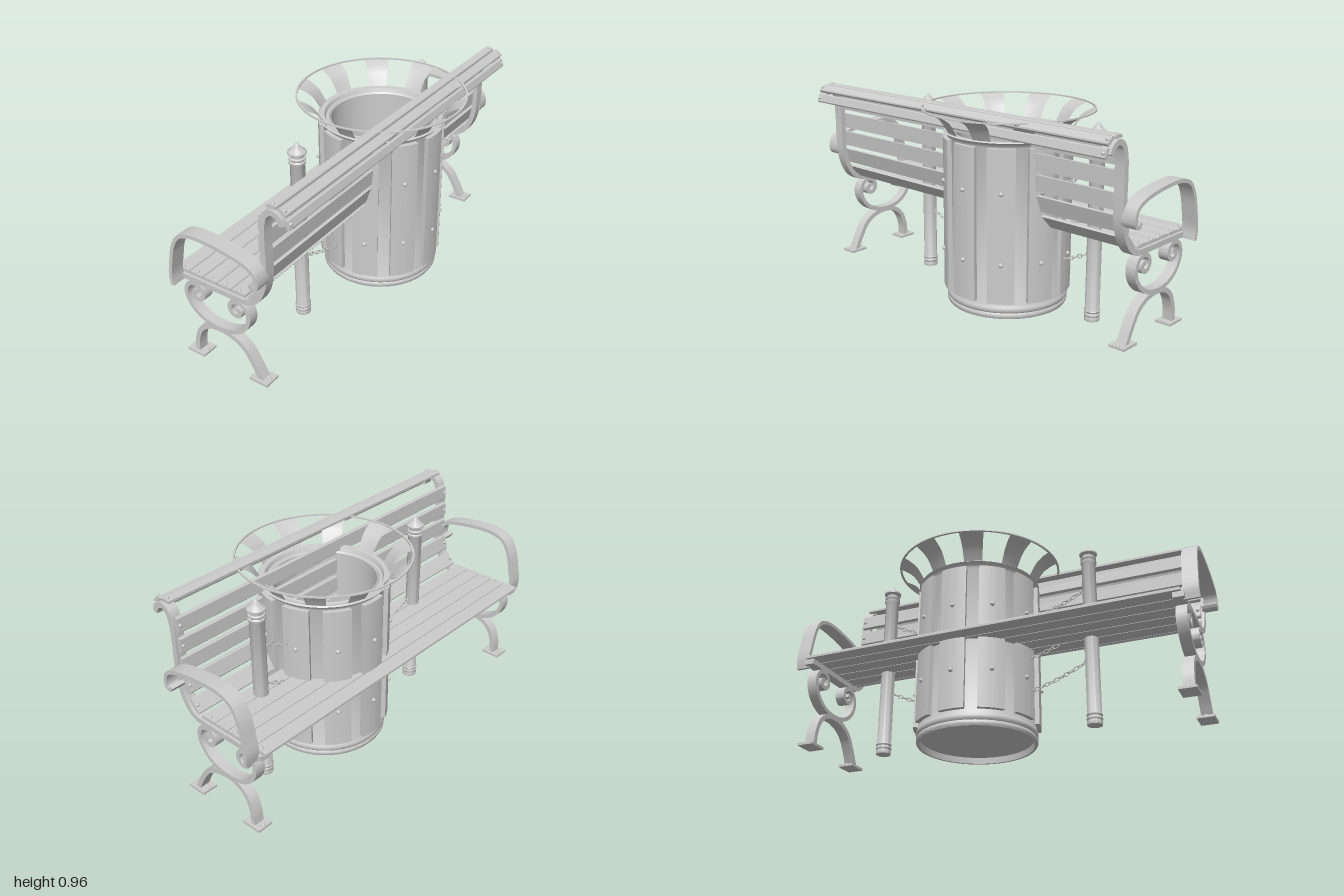
import * as THREE from 'three';
import { toCreasedNormals } from 'three/addons/utils/BufferGeometryUtils.js';

const metal = new THREE.MeshStandardMaterial({ color: 0xcccccc });
const sheet = new THREE.MeshStandardMaterial({ color: 0xcccccc, side: THREE.DoubleSide });

const v2 = ([x, y]) => new THREE.Vector2(x, y);
const smooth = (pts, n) => new THREE.CatmullRomCurve3(
  pts.map(([x, y]) => new THREE.Vector3(x, y, 0)), false, 'centripetal').getPoints(n);

function add(parent, name, geometry, x = 0, y = 0, z = 0, material = metal) {
  const mesh = new THREE.Mesh(geometry, material);
  mesh.name = name;
  mesh.position.set(x, y, z);
  parent.add(mesh);
  return mesh;
}

// Flat iron bar bent along an x-y path, centred on z = 0
function strap(pts, thickness, width, n = 60) {
  const path = smooth(pts, n);
  const left = [], right = [];
  path.forEach((p, i) => {
    const a = path[Math.max(i - 1, 0)], b = path[Math.min(i + 1, n)];
    const len = Math.hypot(b.x - a.x, b.y - a.y);
    const nx = -(b.y - a.y) / len * thickness / 2, ny = (b.x - a.x) / len * thickness / 2;
    left.push(new THREE.Vector2(p.x + nx, p.y + ny));
    right.push(new THREE.Vector2(p.x - nx, p.y - ny));
  });
  const shape = new THREE.Shape([...left, ...right.reverse()]);
  const geo = new THREE.ExtrudeGeometry(shape, { depth: width, bevelEnabled: false });
  return toCreasedNormals(geo.translate(0, 0, -width / 2), 0.7);
}

// Plank with chamfered upper edges, running along z
function plank(width, thickness, length) {
  const w = width / 2, t = thickness / 2, c = 0.005;
  const shape = new THREE.Shape([[-w, -t], [w, -t], [w, t - c], [w - c, t], [-w + c, t], [-w, t - c]].map(v2));
  return new THREE.ExtrudeGeometry(shape, { depth: length, bevelEnabled: false }).translate(0, 0, -length / 2);
}

function buildBench() {
  const bench = new THREE.Group();
  bench.name = 'bench';

  // Slats: centre x, centre y, tilt in degrees, width
  const slats = [];
  for (let i = 0; i < 5; i++) slats.push([-0.336 + i * 0.079, 0.438, 0, 0.075]);
  slats.push([0.066, 0.467, 50, 0.078], [0.106, 0.557, 74, 0.08], [0.122, 0.655, 86, 0.076],
    [0.123, 0.752, 89, 0.076], [0.129, 0.85, 87, 0.076],
    [0.19, 0.947, 0, 0.045], [0.243, 0.936, -38, 0.045], [0.265, 0.887, -72, 0.045]);
  const boltGeo = new THREE.SphereGeometry(0.009, 10, 6);
  for (const [x, y, tilt, width] of slats) {
    const slat = new THREE.Group();
    slat.name = 'slat';
    slat.position.set(x, y, 0);
    slat.rotation.z = THREE.MathUtils.degToRad(tilt);
    add(slat, 'slatBoard', plank(width, 0.016, 1.85));
    for (const s of [-1, 1]) add(slat, 'slatBolt', boltGeo, 0, 0.008, s * 0.912);
    bench.add(slat);
  }

  // Iron end frames
  const rail = strap([[-0.36, 0.417], [-0.2, 0.417], [-0.02, 0.417], [0.04, 0.422], [0.085, 0.45], [0.122, 0.51],
    [0.14, 0.58], [0.144, 0.67], [0.144, 0.77], [0.15, 0.86], [0.168, 0.91], [0.2, 0.927],
    [0.232, 0.912], [0.248, 0.88]], 0.026, 0.05, 80);
  const half = [[-0.247, 0.36], [-0.268, 0.352], [-0.264, 0.327], [-0.237, 0.32], [-0.214, 0.343], [-0.22, 0.378],
    [-0.252, 0.397], [-0.29, 0.387], [-0.312, 0.35], [-0.309, 0.305], [-0.278, 0.255], [-0.22, 0.217]];
  const axis = -0.138;
  const scroll = strap([...half, [axis, 0.203], ...half.map(([x, y]) => [2 * axis - x, y]).reverse()], 0.021, 0.05, 160);
  const legs = strap([[-0.283, 0.005], [-0.276, 0.08], [-0.25, 0.145], [-0.2, 0.185], [axis, 0.197], [-0.06, 0.185],
    [0, 0.15], [0.045, 0.085], [0.085, 0.005]], 0.024, 0.05);
  const arm = strap([[-0.327, 0.4], [-0.333, 0.45], [-0.32, 0.53], [-0.297, 0.62], [-0.26, 0.678], [-0.2, 0.702],
    [-0.12, 0.705], [0, 0.693], [0.09, 0.672], [0.135, 0.645], [0.15, 0.605], [0.145, 0.575], [0.125, 0.567], [0.113, 0.585]],
    0.018, 0.07, 80);
  for (const s of [-1, 1]) {
    const end = new THREE.Group();
    end.name = 'endFrame';
    end.position.z = s * 0.913;
    add(end, 'backAndSeatRail', rail);
    add(end, 'scrollSupport', scroll);
    add(end, 'archedLegs', legs);
    add(end, 'armrest', arm, 0, 0, s * 0.052);
    for (const x of [-0.282, 0.08]) {
      add(end, 'foot', new THREE.BoxGeometry(0.1, 0.012, 0.08), x, 0.006, 0);
      for (const d of [-0.036, 0.036]) add(end, 'footBolt', boltGeo, x + d, 0.012, 0);
    }
    bench.add(end);
  }
  return bench;
}

function buildBin() {
  const bin = new THREE.Group();
  bin.name = 'litterBin';
  bin.position.z = -0.168;

  // Hollow drum with moulded foot and rolled collar
  const drum = [[0, 0.03], [0.272, 0.03], [0.275, 0], [0.286, 0], [0.291, 0.008], [0.291, 0.02], [0.286, 0.028],
    [0.292, 0.036], [0.293, 0.048], [0.289, 0.058], [0.285, 0.065], [0.285, 0.81], [0.292, 0.825], [0.306, 0.835],
    [0.3, 0.84], [0.275, 0.838], [0.268, 0.82], [0.255, 0.82], [0.25, 0.828], [0.243, 0.82], [0.243, 0.05], [0, 0.05]];
  add(bin, 'drum', toCreasedNormals(new THREE.LatheGeometry(drum.map(v2), 64), 0.6));

  // Curved cladding panels with two bolts each
  const spread = 0.212;
  const shape = new THREE.Shape();
  shape.absarc(0, 0, 0.307, -spread, spread, false);
  shape.absarc(0, 0, 0.283, spread, -spread, true);
  const panelGeo = toCreasedNormals(new THREE.ExtrudeGeometry(shape,
    { depth: 0.73, bevelEnabled: false, curveSegments: 8 }).rotateX(-Math.PI / 2), 0.5);
  const boltGeo = new THREE.SphereGeometry(0.011, 12, 8);

  // Flared blades carrying the top hoop
  const flare = smooth([[0.292, 0.832], [0.305, 0.855], [0.335, 0.9], [0.37, 0.926], [0.41, 0.944]], 10)
    .map(p => new THREE.Vector2(p.x, p.y));
  const bladeGeo = new THREE.LatheGeometry(flare, 5, -0.15, 0.3);
  for (let i = 0; i < 10; i++) {
    const turn = i * Math.PI / 5;
    add(bin, 'panel', panelGeo, 0, 0.08, 0).rotation.y = turn;
    for (const y of [0.27, 0.605])
      add(bin, 'panelBolt', boltGeo, 0.308 * Math.cos(turn), y, 0.308 * Math.sin(turn));
    add(bin, 'flaredBlade', bladeGeo, 0, 0, 0, sheet).rotation.y = turn;
  }
  const hoop = [[0.401, 0.941], [0.411, 0.941], [0.411, 0.947], [0.401, 0.947], [0.401, 0.941]];
  add(bin, 'topHoop', toCreasedNormals(new THREE.LatheGeometry(hoop.map(v2), 72), 0.6));
  return bin;
}

function buildPostsAndChains() {
  const group = new THREE.Group();
  group.name = 'postsAndChains';
  const x = -0.055, ends = [-0.645, 0.435];

  // Bollards with collars and pointed finials
  const profile = [[0, 0], [0.035, 0], [0.037, 0.012], [0.034, 0.02], [0.038, 0.03], [0.034, 0.04], [0.038, 0.048],
    [0.034, 0.056], [0.034, 0.825], [0.039, 0.832], [0.039, 0.84], [0.033, 0.846], [0.038, 0.852], [0.038, 0.858],
    [0.03, 0.863], [0.031, 0.872], [0.043, 0.88], [0.043, 0.888], [0.028, 0.9], [0.014, 0.915], [0.007, 0.928], [0, 0.932]];
  const postGeo = toCreasedNormals(new THREE.LatheGeometry(profile.map(v2), 28), 0.7);
  for (const z of ends) add(group, 'post', postGeo, x, 0, z);

  // Sagging chains of alternating links
  const linkGeo = new THREE.TorusGeometry(0.009, 0.0025, 5, 10).scale(1.7, 1, 1).rotateY(-Math.PI / 2);
  const mid = (ends[0] + ends[1]) / 2, reach = 0.508, sag = 0.13, links = 42;
  for (const top of [0.315, 0.485, 0.69]) {
    for (let i = 0; i <= links; i++) {
      const u = -1 + 2 * i / links;
      const link = add(group, 'chainLink', linkGeo, x, top - sag * (1 - u * u), mid + u * reach);
      link.rotation.x = -Math.atan(2 * sag * u / reach);
      link.rotateZ(i % 2 ? Math.PI / 2 : 0);
    }
  }
  return group;
}

export function createModel() {
  const model = new THREE.Group();
  model.name = 'parkBenchWithBin';
  model.add(buildBench(), buildBin(), buildPostsAndChains());
  return model;
}
